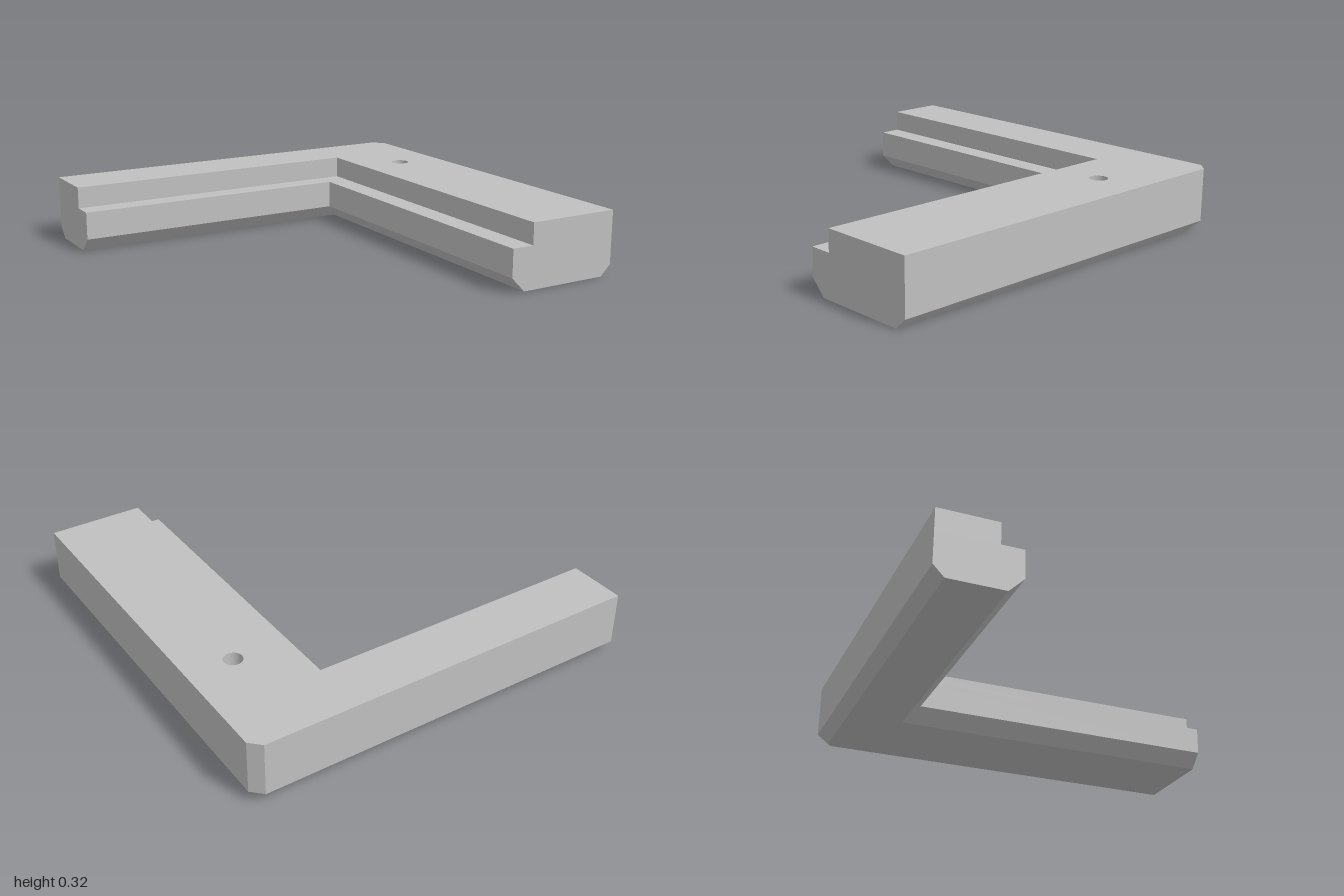
import * as THREE from 'three';

const CHAMFER = 0.053;                 // outer corner and lower outer edge
const INNER_X = 0.413, INNER_Z = -0.602; // inner faces of the two arms
const TOP = 0.318, LEDGE = 0.211;
const HOLE = { x: 0.766, z: -0.433, r: 0.046, depth: 0.2 };

// L outline [x, z], inset from the outside and (per axis) from the inside
function outline(out, inX, inZ = inX) {
  const k = 1 - CHAMFER - out * (Math.SQRT2 - 1);
  const x = INNER_X + inX, z = INNER_Z - inZ;
  return [[-1, -1 + out], [k, -1 + out], [1 - out, -k], [1 - out, 1], [x, 1], [x, z], [-1, z]];
}

// Joins stacked outlines with flat quads
function skin(layers) {
  const pos = [];
  const tri = new THREE.Triangle();
  const add = (a, b, c) => {
    if (tri.set(a, b, c).getArea() > 1e-7) for (const p of [a, b, c]) pos.push(p.x, p.y, p.z);
  };
  for (let l = 0; l < layers.length - 1; l++) {
    const n = layers[l].pts.length;
    const at = (layer, i) => new THREE.Vector3(layer.pts[i % n][0], layer.y, layer.pts[i % n][1]);
    for (let i = 0; i < n; i++) {
      const a0 = at(layers[l], i), b0 = at(layers[l], i + 1);
      const a1 = at(layers[l + 1], i), b1 = at(layers[l + 1], i + 1);
      add(a0, a1, b1);
      add(a0, b1, b0);
    }
  }
  const g = new THREE.BufferGeometry();
  g.setAttribute('position', new THREE.Float32BufferAttribute(pos, 3));
  g.computeVertexNormals();
  return g;
}

export function createModel() {
  const group = new THREE.Group();
  group.name = 'cornerBracket';
  const grey = new THREE.MeshStandardMaterial({ color: 0xc0c0c0 });
  grey.name = 'grey';
  const add = (name, geometry) => {
    const mesh = new THREE.Mesh(geometry, grey);
    mesh.name = name;
    group.add(mesh);
    return mesh;
  };

  // Side walls: bevelled bottom, straight body, ledge and raised rim
  const layers = [
    { y: 0, pts: outline(CHAMFER, 0.072) },
    { y: CHAMFER, pts: outline(0, 0.072 - CHAMFER) },
    { y: 0.072, pts: outline(0, 0) },
    { y: LEDGE, pts: outline(0, 0) },
    { y: LEDGE, pts: outline(0, 0.113, 0.109) },
    { y: TOP, pts: outline(0, 0.113, 0.109) },
  ];
  add('frameWalls', skin(layers));

  // Underside
  const bottom = new THREE.Shape(layers[0].pts.map(([x, z]) => new THREE.Vector2(x, z)));
  add('underside', new THREE.ShapeGeometry(bottom).rotateX(Math.PI / 2));

  // Top face with the round opening
  const top = new THREE.Shape(layers[5].pts.map(([x, z]) => new THREE.Vector2(x, -z)));
  top.holes.push(new THREE.Path().absarc(HOLE.x, -HOLE.z, HOLE.r, 0, Math.PI * 2, true));
  add('topFace', new THREE.ShapeGeometry(top, 16).rotateX(-Math.PI / 2)).position.y = TOP;

  // Blind hole: wall and floor
  const wall = [new THREE.Vector2(HOLE.r, 0), new THREE.Vector2(HOLE.r, -HOLE.depth)];
  const floor = [wall[1], new THREE.Vector2(0, -HOLE.depth)];
  add('holeWall', new THREE.LatheGeometry(wall, 32)).position.set(HOLE.x, TOP, HOLE.z);
  add('holeFloor', new THREE.LatheGeometry(floor, 32)).position.set(HOLE.x, TOP, HOLE.z);

  return group;
}
